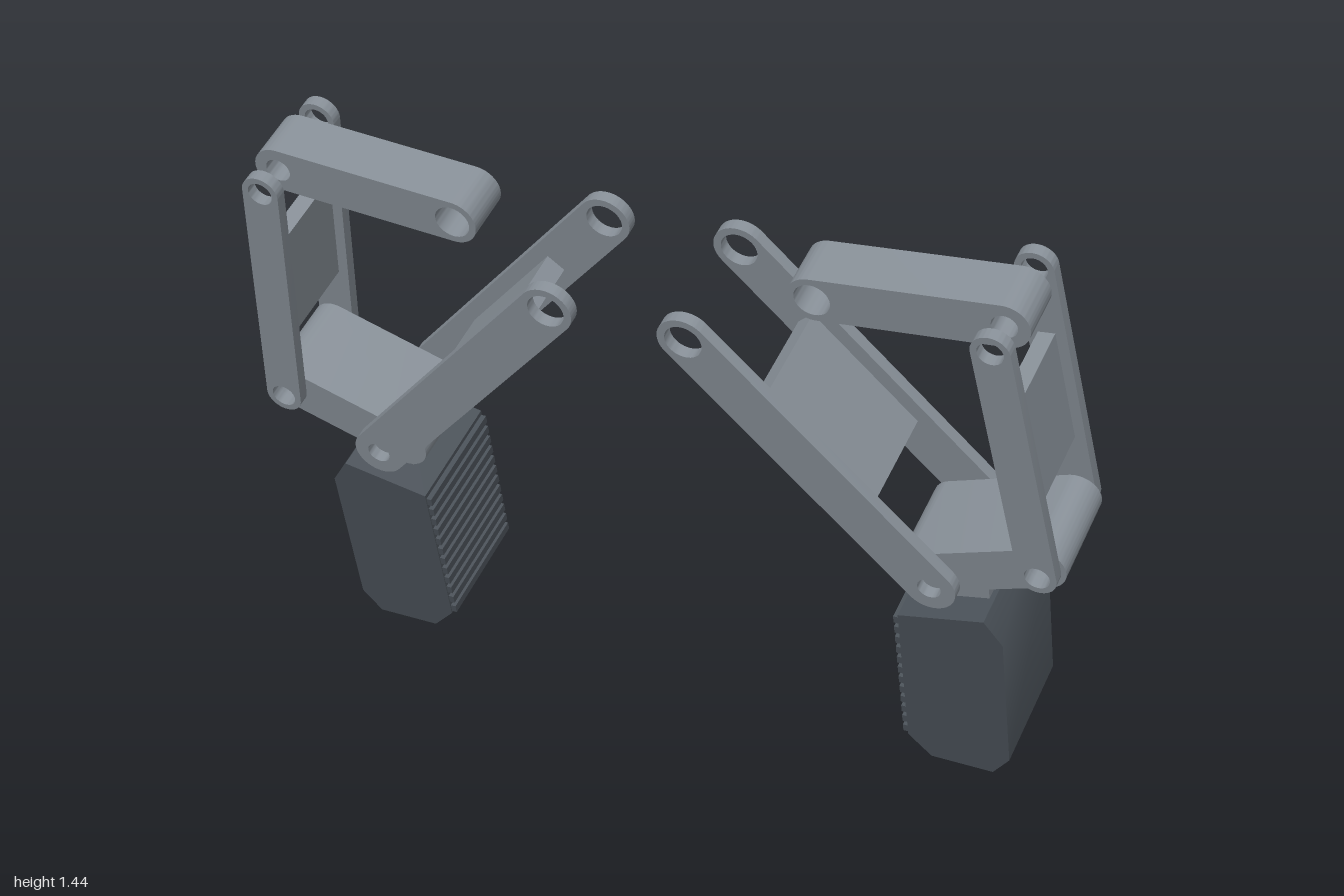
import * as THREE from 'three';
import { toCreasedNormals } from 'three/addons/utils/BufferGeometryUtils.js';

const linkGrey = new THREE.MeshStandardMaterial({ color: 0x868e96 });
linkGrey.name = 'linkGrey';
const padGrey = new THREE.MeshStandardMaterial({ color: 0x495057 });
padGrey.name = 'padGrey';

const MID = -0.187; // depth of the linkage's middle plane
const TILT = Math.PI / 12;

// Extrude a shape between two depths measured from the middle plane
function slab(name, shape, d0, d1, material) {
  const geo = new THREE.ExtrudeGeometry(shape, { depth: d1 - d0, bevelEnabled: false, curveSegments: 20 });
  geo.translate(0, 0, MID + d0);
  const mesh = new THREE.Mesh(toCreasedNormals(geo, 0.6), material);
  mesh.name = name;
  return mesh;
}

// Round-ended bar outline from a to b, with holes given as [x, y, radius]
function barShape(a, b, r, holes) {
  const t = Math.atan2(b[1] - a[1], b[0] - a[0]);
  const s = new THREE.Shape();
  s.absarc(b[0], b[1], r, t - Math.PI / 2, t + Math.PI / 2, false);
  s.absarc(a[0], a[1], r, t + Math.PI / 2, t + Math.PI * 1.5, false);
  s.closePath();
  for (const [x, y, hr] of holes) {
    const hole = new THREE.Path();
    hole.absarc(x, y, hr, 0, Math.PI * 2, true);
    s.holes.push(hole);
  }
  return s;
}

function polygon(points) {
  return new THREE.Shape(points.map(([x, y]) => new THREE.Vector2(x, y)));
}

// Rectangular web lying along a-b between fractions t0 and t1
function webShape(a, b, t0, t1, h) {
  const d = new THREE.Vector2(b[0] - a[0], b[1] - a[1]);
  const n = new THREE.Vector2(-d.y, d.x).normalize().multiplyScalar(h);
  return polygon([[t0, -1], [t1, -1], [t1, 1], [t0, 1]].map(([t, k]) =>
    [a[0] + d.x * t + n.x * k, a[1] + d.y * t + n.y * k]));
}

// One linkage finger; side is +1 (left) or -1 (right)
function makeFinger(side) {
  const finger = new THREE.Group();
  finger.name = side > 0 ? 'leftFinger' : 'rightFinger';
  const p = (x, y) => [side * x, y];
  const elbow = p(0.695, 0.605), driveEnd = p(0.165, 1.208);
  const outerLow = p(0.944, 0.702), outerTop = p(0.864, 1.354);
  const barEnd = p(0.43, 1.31), blockEnd = p(0.655, 0.59);

  // Paired plates, front and back
  for (const [label, k] of [['Front', 1], ['Back', -1]]) {
    const between = (i, o) => (k > 0 ? [i, o] : [-o, -i]);
    finger.add(slab('innerArm' + label,
      barShape(elbow, driveEnd, 0.062, [[...elbow, 0.028], [...driveEnd, 0.044]]),
      ...between(0.14, 0.17), linkGrey));
    finger.add(slab('outerLink' + label,
      barShape(outerLow, outerTop, 0.045, [[...outerLow, 0.03], [...outerTop, 0.03]]),
      ...between(0.12, 0.15), linkGrey));
  }

  // Webs joining the plates
  finger.add(slab('innerArmWeb', webShape(elbow, driveEnd, 0.287, 0.727, 0.025), -0.14, 0.14, linkGrey));
  finger.add(slab('outerLinkWeb', webShape(outerLow, outerTop, 0.27, 0.73, 0.02), -0.12, 0.12, linkGrey));

  // Upper drive bar and lower knuckle block
  finger.add(slab('driveBar',
    barShape(outerTop, barEnd, 0.058, [[...outerTop, 0.03], [...barEnd, 0.042]]), -0.064, 0.064, linkGrey));
  finger.add(slab('knuckleBlock',
    barShape(outerLow, blockEnd, 0.057, [[...outerLow, 0.03], [...elbow, 0.028]]), -0.12, 0.12, linkGrey));
  finger.add(slab('neck',
    polygon([p(0.67, 0.46), p(0.8, 0.46), p(0.8, 0.6), p(0.67, 0.6)]), -0.078, 0.078, linkGrey));

  // Chamfered gripping pad with ribs on its inner face
  finger.add(slab('pad', polygon([
    p(0.66, -0.009), p(0.813, -0.009), p(0.856, 0.05), p(0.856, 0.45),
    p(0.813, 0.515), p(0.605, 0.467), p(0.605, 0.05),
  ]), -0.153, 0.153, padGrey));
  const ribs = 12;
  for (let i = 0; i < ribs; i++) {
    const y = 0.055 + i * 0.0345;
    finger.add(slab('padRib', polygon([
      p(0.592, y), p(0.61, y), p(0.61, y + 0.021), p(0.592, y + 0.021),
    ]), -0.15, 0.15, padGrey));
  }
  return finger;
}

export function createModel() {
  const model = new THREE.Group();
  model.name = 'gripper';
  const tilted = new THREE.Group();
  tilted.name = 'fingers';
  tilted.rotation.x = TILT;
  tilted.add(makeFinger(1), makeFinger(-1));
  model.add(tilted);
  return model;
}
